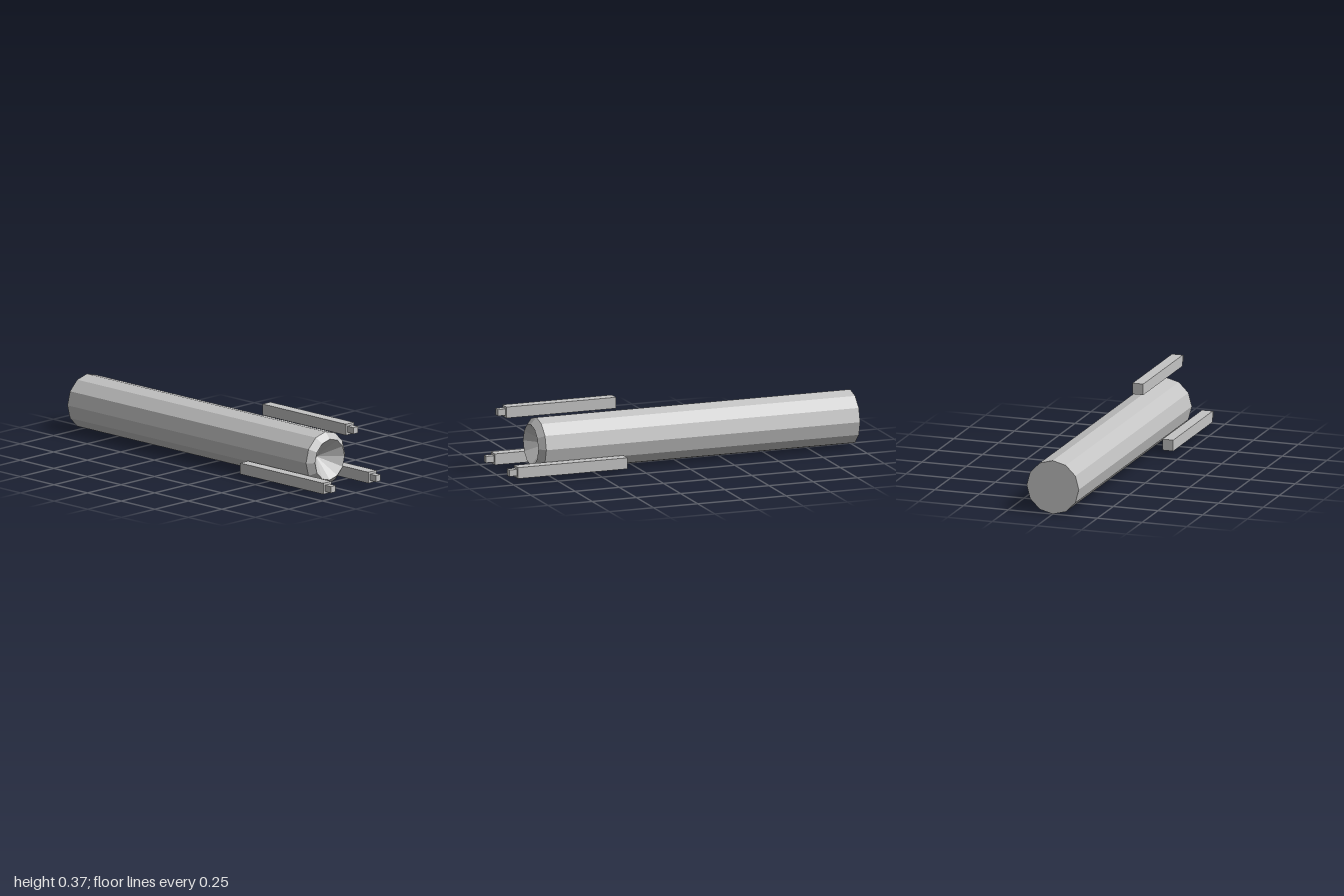
import * as THREE from 'three';

export function createModel() {
  const model = new THREE.Group();
  const grey = new THREE.MeshStandardMaterial({ color: 0xc4c4c4, flatShading: true });
  grey.name = 'grey';

  const radius = 0.146;
  const centreY = 0.146;

  // Twelve-sided barrel: closed back, bevelled front rim, conical recess
  const profile = [
    [0, -1], [radius, -1], [radius, 0.775], [0.111, 0.807], [0, 0.705],
  ].map(([r, z]) => new THREE.Vector2(r, z));
  const barrel = new THREE.Mesh(new THREE.LatheGeometry(profile, 12).rotateX(Math.PI / 2), grey);
  barrel.name = 'barrel';
  barrel.position.y = centreY;
  model.add(barrel);

  // Square bar along z between two depths
  function bar(name, size, back, front) {
    const mesh = new THREE.Mesh(new THREE.BoxGeometry(size, size, front - back), grey);
    mesh.name = name;
    mesh.position.z = (back + front) / 2;
    return mesh;
  }

  // Three upright rods evenly spaced around the muzzle, each with a small tip
  ['topRod', 'rightRod', 'leftRod'].forEach((name, i) => {
    const angle = Math.PI / 2 + (i * Math.PI * 2) / 3;
    const rod = new THREE.Group();
    rod.name = name;
    rod.add(bar('rodBody', 0.06, 0.336, 0.956), bar('rodTip', 0.035, 0.956, 1));
    rod.position.set(Math.cos(angle) * 0.194, centreY + Math.sin(angle) * 0.194, 0);
    model.add(rod);
  });

  return model;
}
